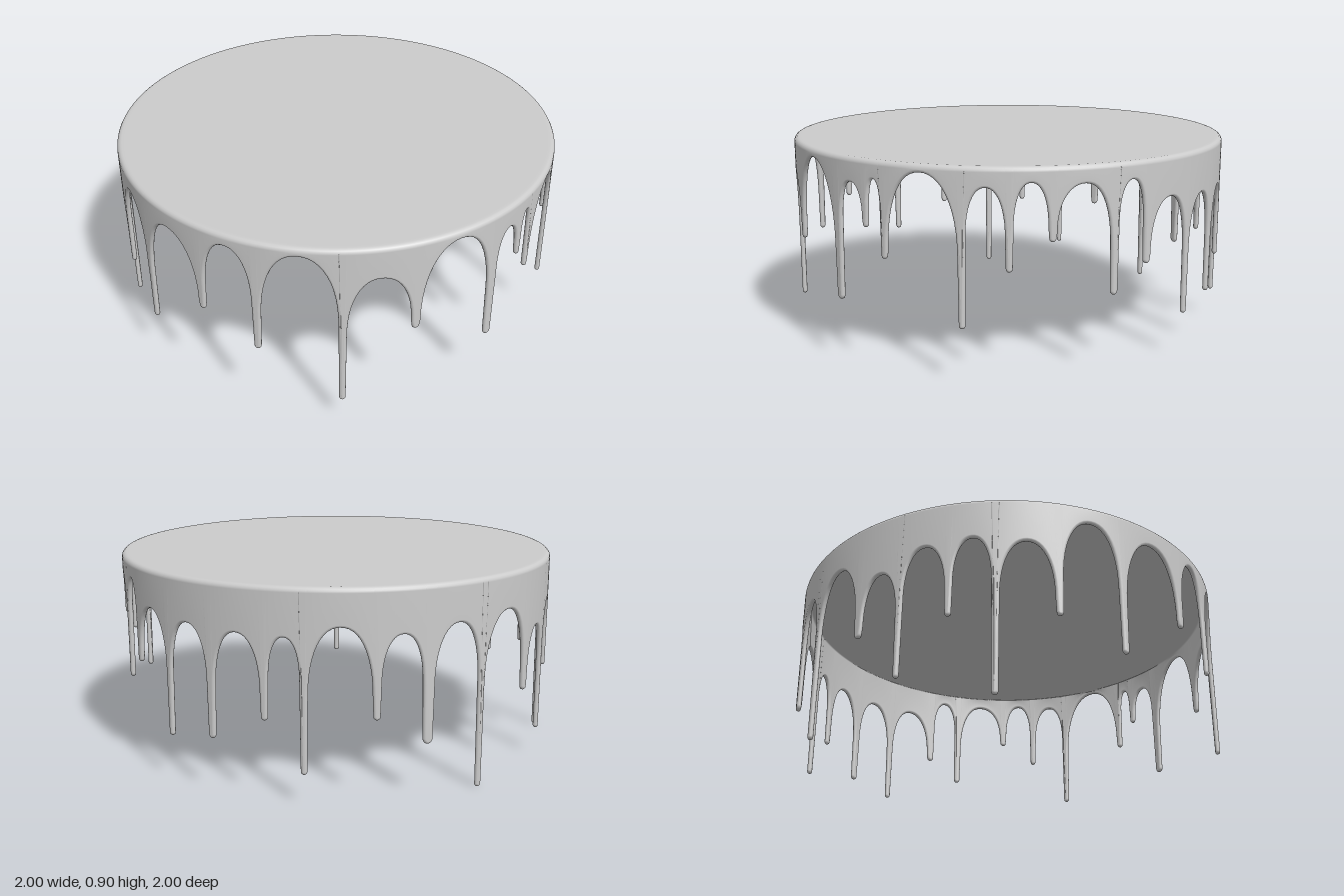
import * as THREE from 'three';

const TOP = 0.905, BEVEL = 0.022, HALF = 0.011, R_MID = 1 - HALF, UNDER = 0.883;

// Each drip: [degrees from front towards +x, tip height, half width, top of the arch after it]
const DRIPS = [
  [0, 0.47, 0.018, 0.865], [22, 0.28, 0.021, 0.8], [31.8, 0.62, 0.015, 0.825],
  [37.3, 0.5, 0.015, 0.87], [57, 0.24, 0.015, 0.82], [68, 0.48, 0.015, 0.84],
  [78, 0.6, 0.016, 0.83], [93.4, 0.36, 0.017, 0.83], [102.7, 0.47, 0.018, 0.735],
  [117.6, 0.2, 0.015, 0.715], [131.5, 0.24, 0.018, 0.705], [145.6, 0.35, 0.016, 0.7],
  [155, 0.13, 0.015, 0.745], [172, 0.36, 0.016, 0.71], [184.6, 0.24, 0.023, 0.735],
  [199.8, 0, 0.015, 0.75], [218, 0.36, 0.019, 0.63], [230.3, 0.12, 0.014, 0.705],
  [243, 0.36, 0.015, 0.72], [254.2, 0, 0.015, 0.7], [269.4, 0.36, 0.016, 0.825],
  [286.1, 0.24, 0.016, 0.815], [306.5, 0.48, 0.017, 0.85], [321.6, 0.36, 0.017, 0.865],
  [342.3, 0.12, 0.015, 0.755],
];

// Lower edge of the skirt, unrolled as (arc length, height)
function lowerEdge() {
  const pts = [], TIP = 6, ARCH = 24;
  DRIPS.forEach(([deg, tip, w, top], i) => {
    const next = DRIPS[(i + 1) % DRIPS.length];
    const s0 = THREE.MathUtils.degToRad(deg) * R_MID;
    const s1 = THREE.MathUtils.degToRad(next[0] + (i === DRIPS.length - 1 ? 360 : 0)) * R_MID;
    const nw = next[2];
    // right half of this rounded tip
    for (let k = 0; k <= TIP; k++) {
      const t = k / TIP * Math.PI / 2;
      pts.push(new THREE.Vector2(s0 + w * 0.92 * Math.sin(t), tip + w * (1 - Math.cos(t))));
    }
    // arch up to the next drip
    const a = s0 + w * 1.12, b = s1 - nw * 1.12, rise = 0.9 * (b - a) + 0.06;
    const left = Math.max(tip + w + 0.02, top - rise);
    const right = Math.max(next[1] + nw + 0.02, top - rise);
    for (let k = 0; k <= ARCH; k++) {
      const u = -Math.cos(k / ARCH * Math.PI);
      const lift = Math.pow(Math.max(0, 1 - Math.pow(Math.abs(u), 2.2)), 1 / 2.2);
      const spring = u < 0 ? left : right;
      pts.push(new THREE.Vector2((a + b) / 2 + u * (b - a) / 2, spring + (top - spring) * lift));
    }
    // left half of the next tip
    for (let k = TIP; k > 0; k--) {
      const t = k / TIP * Math.PI / 2;
      pts.push(new THREE.Vector2(s1 - nw * 0.92 * Math.sin(t), next[1] + nw * (1 - Math.cos(t))));
    }
  });
  return pts;
}

// One section: top centre, bevel, outer wall, rounded rim, inner wall, underside centre
function section(p, prev, next) {
  const ring = [];
  const add = (r, s, y) => ring.push(r * Math.sin(s / R_MID), y, r * Math.cos(s / R_MID));
  const n = new THREE.Vector2(next.y - prev.y, prev.x - next.x).normalize();
  add(0, p.x, TOP);
  add(1 - BEVEL * 1.6, p.x, TOP);
  for (let k = 0; k <= 4; k++) {
    const t = k / 4 * Math.PI / 2;
    add(1 - BEVEL + BEVEL * Math.sin(t), p.x, TOP - BEVEL + BEVEL * Math.cos(t));
  }
  for (let k = 0; k <= 6; k++) {
    const t = k / 6 * Math.PI, inset = HALF * (Math.sin(t) - 1);
    add(R_MID + HALF * Math.cos(t), p.x + n.x * inset, Math.min(p.y + n.y * inset, UNDER - 0.001));
  }
  add(1 - 2 * HALF, p.x, UNDER);
  add(1 - 3 * HALF, p.x, UNDER);
  add(0, p.x, UNDER);
  return ring;
}

export function createModel() {
  const edge = lowerEdge(), count = edge.length, turn = 2 * Math.PI * R_MID;
  const positions = [], index = [];
  let rows = 0;
  edge.forEach((p, j) => {
    const prev = edge[(j + count - 1) % count].clone();
    const next = edge[(j + 1) % count].clone();
    if (j === 0) prev.x -= turn;
    if (j === count - 1) next.x += turn;
    const ring = section(p, prev, next);
    rows = ring.length / 3;
    positions.push(...ring);
  });
  for (let j = 0; j < count; j++) {
    const a = j * rows, d = ((j + 1) % count) * rows;
    for (let k = 0; k < rows - 1; k++) {
      if (k < rows - 2) index.push(a + k, a + k + 1, d + k + 1);
      if (k > 0) index.push(a + k, d + k + 1, d + k);
    }
    // close the underside at its centre
    index.push(a + rows - 2, a + rows - 1, d + rows - 2);
  }
  const geometry = new THREE.BufferGeometry();
  geometry.setAttribute('position', new THREE.Float32BufferAttribute(positions, 3));
  geometry.setIndex(index);
  geometry.computeVertexNormals();

  const icing = new THREE.Mesh(geometry, new THREE.MeshStandardMaterial({ color: 0xcccccc, side: THREE.DoubleSide }));
  icing.name = 'drippingIcing';
  const group = new THREE.Group();
  group.name = 'icingTop';
  group.add(icing);
  return group;
}
